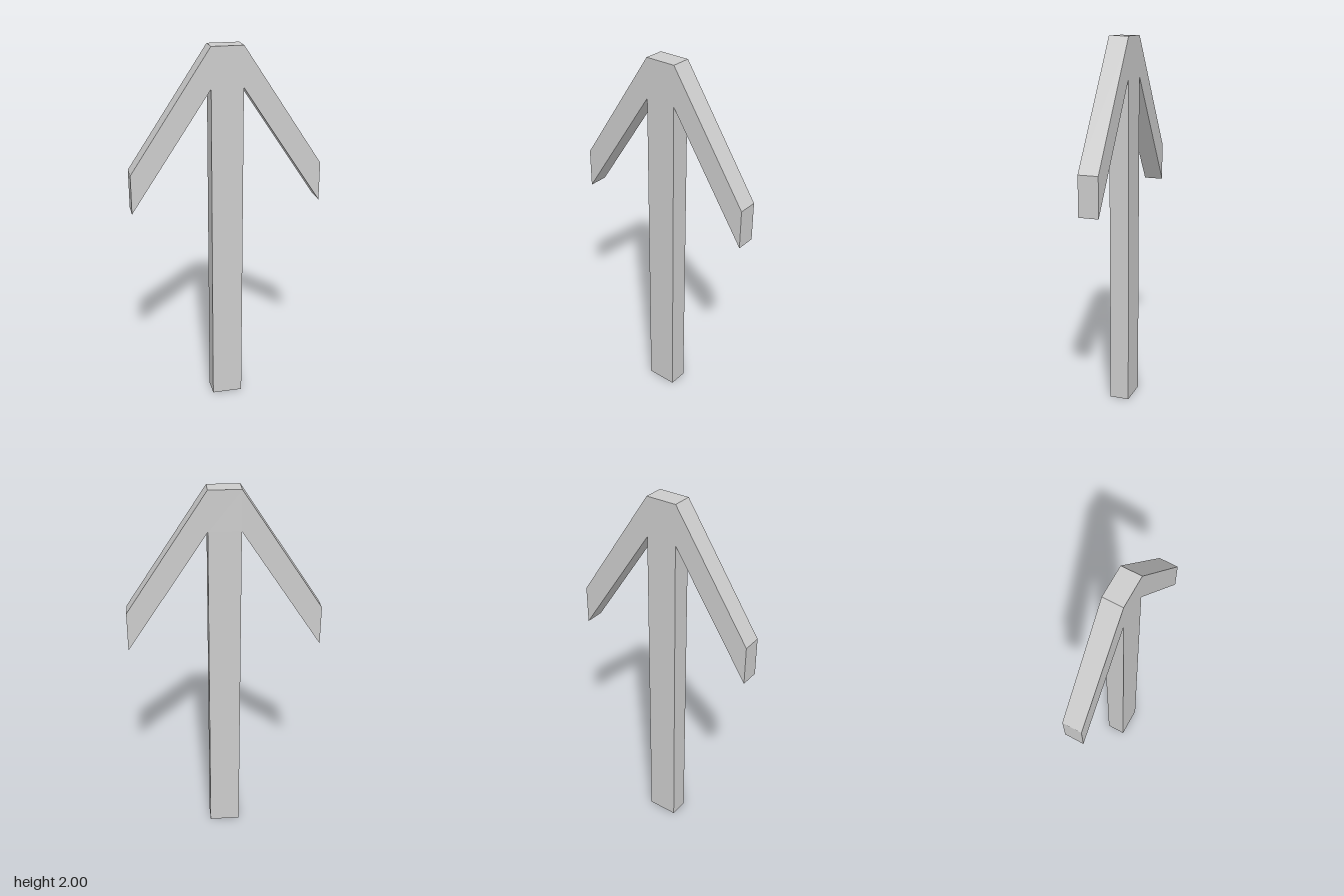
import * as THREE from 'three';

const DEPTH = 0.106;

export function createModel() {
  const group = new THREE.Group();
  group.name = 'arrow';

  // Right half of the outline, from the foot of the shaft up to the flat tip
  const half = [
    [0.084, 0],       // foot of shaft
    [0.084, 1.79],    // inner corner under the barb
    [0.507, 1.156],   // lower barb end
    [0.507, 1.366],   // upper barb end
    [0.084, 2],       // flat tip
  ];
  const mirrored = half.map(([x, y]) => [-x, y]).reverse();
  const outline = [...half, ...mirrored].map(([x, y]) => new THREE.Vector2(x, y));

  // Shaft and both barbs as one flat-sided slab, centred on z
  const geometry = new THREE.ExtrudeGeometry(new THREE.Shape(outline), {
    depth: DEPTH,
    bevelEnabled: false,
  });
  geometry.translate(0, 0, -DEPTH / 2);

  const material = new THREE.MeshStandardMaterial({ color: 0xcccccc, flatShading: true });
  const arrow = new THREE.Mesh(geometry, material);
  arrow.name = 'shaftAndBarbs';
  group.add(arrow);

  return group;
}
